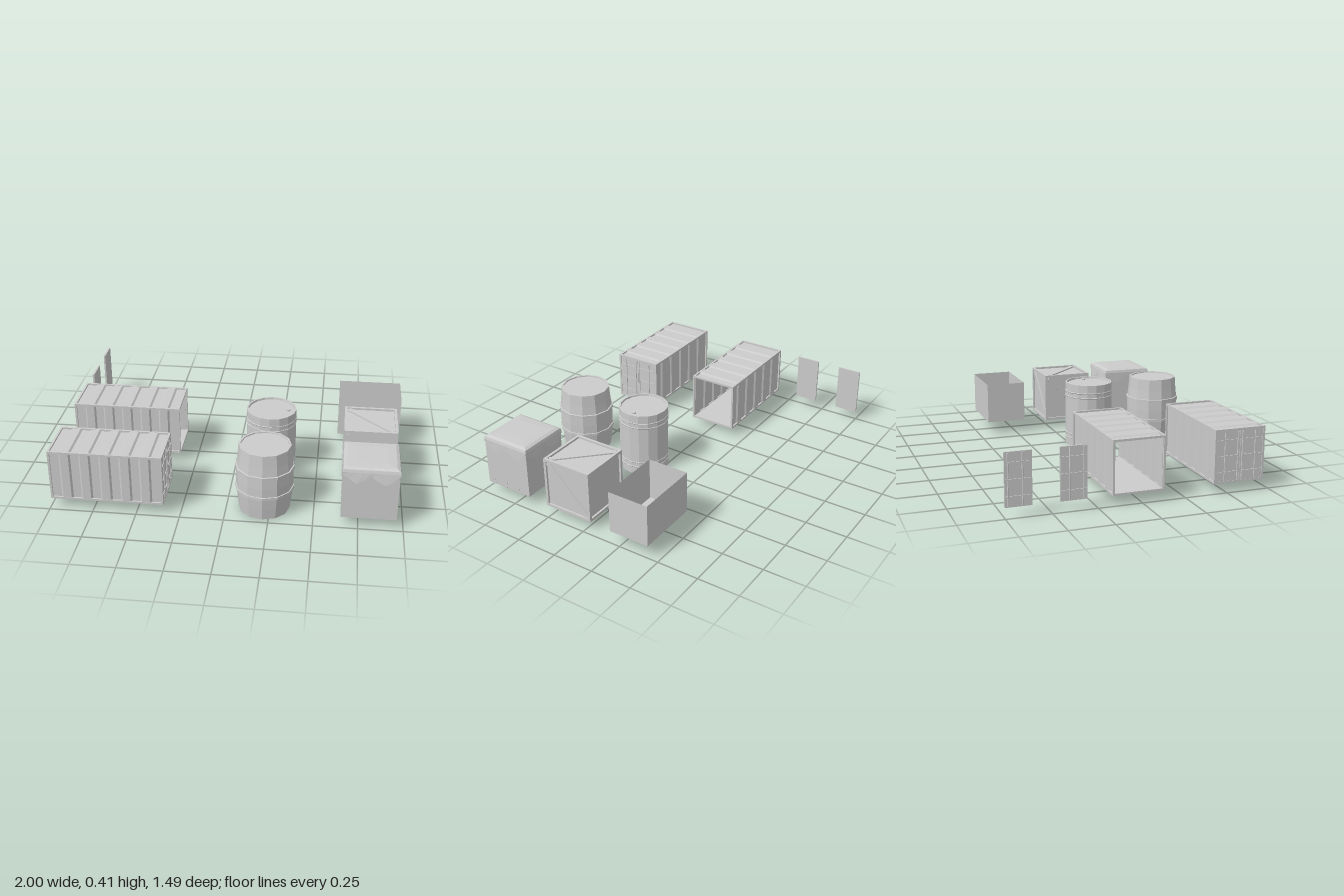
import * as THREE from 'three';

const mat = new THREE.MeshStandardMaterial({ color: 0xcccccc, flatShading: true });
const thinMat = new THREE.MeshStandardMaterial({ color: 0xcccccc, flatShading: true, side: THREE.DoubleSide });

function add(parent, name, geo, x = 0, y = 0, z = 0, material = mat) {
  const m = new THREE.Mesh(geo, material);
  m.name = name;
  m.position.set(x, y, z);
  parent.add(m);
  return m;
}
const box = (w, h, d) => new THREE.BoxGeometry(w, h, d);

function group(parent, name, x = 0, y = 0, z = 0) {
  const g = new THREE.Group();
  g.name = name;
  g.position.set(x, y, z);
  parent.add(g);
  return g;
}

// Twelve bars along the edges of a box
function edgeFrame(parent, name, w, h, d, t) {
  for (const a of [-1, 1]) for (const b of [-1, 1]) {
    add(parent, name, box(w, t, t), 0, a * (h - t) / 2, b * (d - t) / 2);
    add(parent, name, box(t, h, t), a * (w - t) / 2, 0, b * (d - t) / 2);
    add(parent, name, box(t, t, d), a * (w - t) / 2, b * (h - t) / 2, 0);
  }
}

// Ribbed sheet: trapezoid wave along x, outside facing +y
function ribbedSheet(length, width) {
  const n = 11, step = length / n, slope = 0.005, depth = 0.009, pts = [];
  for (let i = 0; i < n; i++) {
    const y = i % 2 ? 0 : -depth, x = -length / 2 + i * step;
    pts.push([x + (i ? slope : 0), y], [x + step - (i < n - 1 ? slope : 0), y]);
  }
  const outline = [...pts, ...pts.map(([x, y]) => [x, y - 0.004]).reverse()];
  const shape = new THREE.Shape(outline.map(p => new THREE.Vector2(...p)));
  return new THREE.ExtrudeGeometry(shape, { depth: width, bevelEnabled: false }).translate(0, 0, -width / 2);
}

// Door leaf facing -x, with lock rods and cross bars
function doorLeaf(parent, y, z, width, height, mirror) {
  const g = group(parent, 'door', 0, y, z);
  add(g, 'doorPanel', box(0.01, height, width), 0.005, 0, 0);
  for (const dz of [-0.055, 0.022]) {
    add(g, 'lockRod', new THREE.CylinderGeometry(0.004, 0.004, height - 0.01, 6), -0.003, 0, dz * mirror);
  }
  for (const dy of [-0.09, 0, 0.09]) add(g, 'crossBar', box(0.006, 0.008, width - 0.012), -0.002, dy, 0);
  return g;
}

const L = 0.65, H = 0.305, W = 0.3, T = 0.012;

function container(parent, name, z, closed) {
  const g = group(parent, name, -0.67, 0.2075, z);
  edgeFrame(g, 'frameRail', L, H, W, T);
  const inner = L - 2 * T;
  add(g, 'ribbedRoof', ribbedSheet(inner, W - 2 * T), 0, H / 2 - 0.001, 0);
  for (const s of [-1, 1]) {
    add(g, 'ribbedWall', ribbedSheet(inner, H - 2 * T).rotateX(s * Math.PI / 2), 0, 0, s * (W / 2 - 0.001));
  }
  add(g, 'floor', box(L - 0.002, 0.008, W - 0.002), 0, -H / 2 + 0.005, 0);
  if (!closed) return;
  for (const end of [0, 1]) {
    const doors = group(g, 'endDoors');
    doors.rotation.y = end * Math.PI;
    for (const s of [-1, 1]) doorLeaf(doors, 0, s * 0.069, 0.136, H - 2 * T, s).position.x = -L / 2 + 0.002;
  }
}

function lathe(points, sides) {
  return new THREE.LatheGeometry(points.map(p => new THREE.Vector2(...p)), sides);
}

// Bulging cask with two hoops
function cask(parent, x, z) {
  const g = group(parent, 'cask', x, 0, z);
  add(g, 'caskBody', lathe([[0, 0], [0.146, 0], [0.155, 0.07], [0.163, 0.145], [0.164, 0.205], [0.163, 0.265],
    [0.155, 0.335], [0.149, 0.408], [0.138, 0.408], [0.137, 0.401], [0, 0.401]], 12));
  for (const y of [0.143, 0.272]) {
    add(g, 'hoop', lathe([[0.158, -0.01], [0.169, -0.008], [0.169, 0.008], [0.158, 0.01]], 12), 0, y, 0);
  }
}

// Straight drum with rolling ridges, sunken lid and bung
function drum(parent, x, z) {
  const g = group(parent, 'drum', x, 0, z);
  add(g, 'drumBody', lathe([[0, 0.006], [0.14, 0.006], [0.142, 0], [0.149, 0], [0.149, 0.403], [0.139, 0.403],
    [0.137, 0.392], [0, 0.392]], 16));
  for (const y of [0.05, 0.08, 0.32, 0.35]) {
    add(g, 'rollingRidge', lathe([[0.146, -0.008], [0.152, 0], [0.146, 0.008]], 16), 0, y, 0);
  }
  add(g, 'bung', new THREE.CylinderGeometry(0.012, 0.012, 0.008, 8), 0.1, 0.396, 0);
}

// Framed crate with a diagonal brace on each face
function crate(parent, x, z) {
  const s = 0.312, g = group(parent, 'framedCrate', x, 0.205, z);
  add(g, 'cratePanels', box(s - 0.024, s - 0.024, s - 0.024));
  edgeFrame(g, 'crateFrame', s, s, s, 0.016);
  const turns = [[0, 0], [0, 1], [0, 2], [0, 3], [-1, 0], [1, 0]];
  for (const [rx, ry] of turns) {
    const face = group(g, 'crateFace');
    face.rotation.set(rx * Math.PI / 2, ry * Math.PI / 2, 0);
    add(face, 'diagonalBrace', box(0.375, 0.03, 0.01), 0, 0, s / 2 - 0.009).rotation.z = -Math.PI / 4;
  }
}

// Draped cover: rings run round a square from the crown to a wavy hem
function coverGeometry(half) {
  const side = 8, count = side * 4, rings = 5, pos = [0, 0.376, 0], idx = [];
  const hem = [0.335, 0.31, 0.28, 0.305, 0.328, 0.298, 0.28, 0.302];
  for (let r = 0; r < rings; r++) for (let i = 0; i < count; i++) {
    const k = Math.floor(i / side), j = i % side, t = -1 + 2 * j / side;
    const [u, v] = [[t, 1], [1, -t], [-t, -1], [-1, t]][k];
    const low = hem[j], flare = Math.max(0, 0.335 - low) * 0.18;
    const scale = [0.55, 0.86, 0.97, 1, 1][r] * half;
    const y = [0.376, 0.373, 0.364, 0.348, low][r];
    const out = r === 4 ? flare : 0;
    pos.push(u * (scale + out * 0.3), y, v * (scale + out));
  }
  for (let i = 0; i < count; i++) {
    const n = (i + 1) % count;
    idx.push(0, 1 + i, 1 + n);
    for (let r = 0; r < rings - 1; r++) {
      const a = 1 + r * count + i, b = 1 + r * count + n;
      idx.push(a, a + count, b, b, a + count, b + count);
    }
  }
  const geo = new THREE.BufferGeometry();
  geo.setAttribute('position', new THREE.Float32BufferAttribute(pos, 3));
  geo.setIndex(idx);
  geo.computeVertexNormals();
  return geo;
}

function coveredCrate(parent, x, z) {
  const g = group(parent, 'coveredCrate', x, 0, z);
  add(g, 'crateBody', box(0.308, 0.3, 0.308), 0, 0.205, 0);
  add(g, 'cover', coverGeometry(0.158), 0, 0, 0, thinMat);
  // Plank splits along the lower edges
  for (const s of [-1, 1]) [-0.08, 0.015, 0.105].forEach((d, i) => {
    add(g, 'plankSplit', box(0.002, 0.03 + 0.01 * (i % 2), 0.003), s * 0.1545, 0.076, d);
  });
}

// Thin-walled bin, open at the top
function openBin(parent) {
  const geo = box(0.385, 0.255, 0.25), i = Array.from(geo.index.array);
  i.splice(12, 6);
  geo.setIndex(i);
  geo.clearGroups();
  add(parent, 'openBin', geo, 0.8075, 0.2065, -0.313, thinMat);
}

export function createModel() {
  const model = new THREE.Group();
  model.name = 'cargoSet';
  container(model, 'closedContainer', 0.571, true);
  container(model, 'openContainer', -0.019, false);
  // Two loose doors
  doorLeaf(model, 0.205, -0.383, 0.146, 0.293, -1).position.x = -0.993;
  doorLeaf(model, 0.205, -0.678, 0.146, 0.293, 1).position.x = -0.993;
  cask(model, 0.215, 0.573);
  drum(model, 0.215, 0.13);
  crate(model, 0.807, 0.131);
  coveredCrate(model, 0.807, 0.571);
  openBin(model);
  return model;
}
